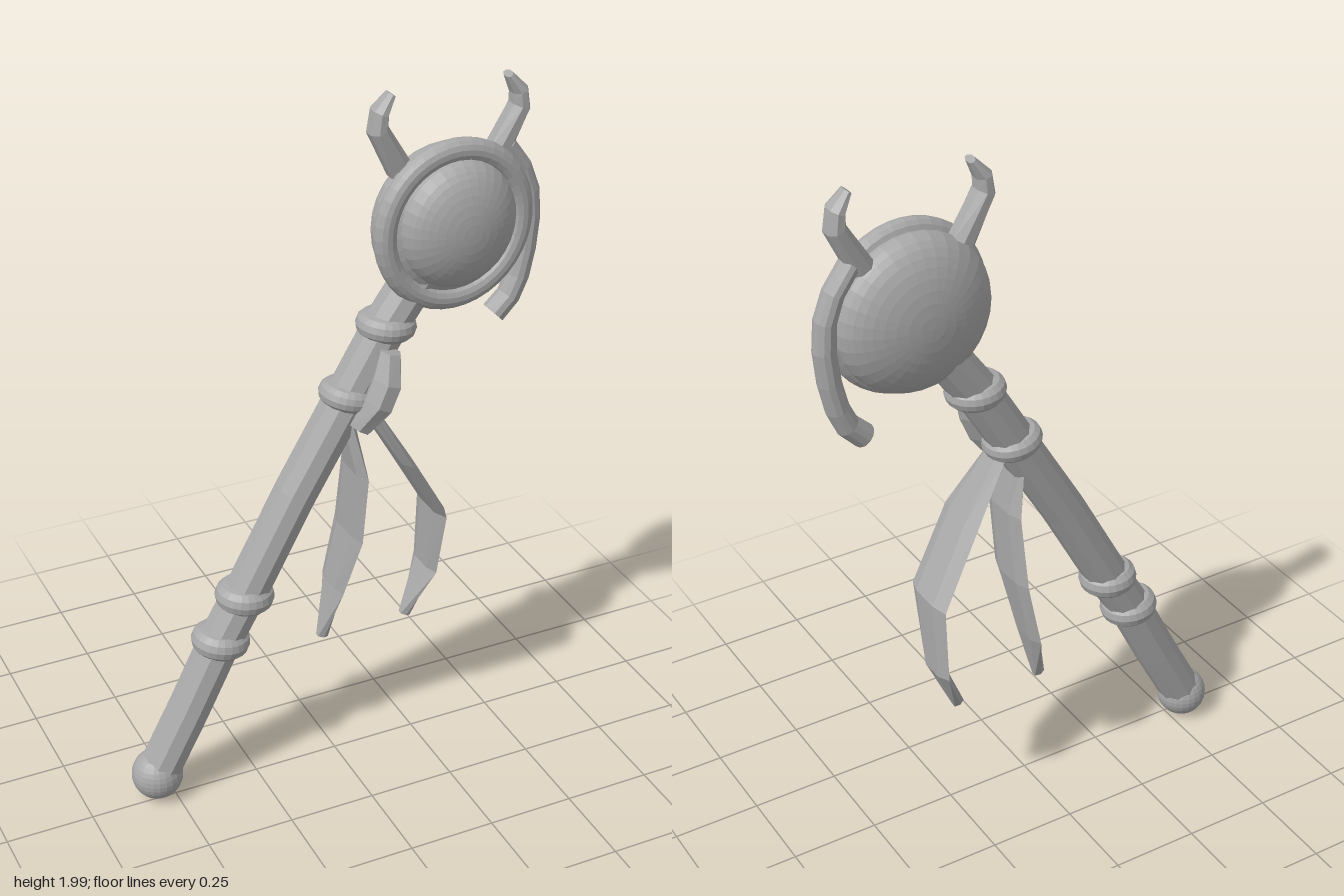
import * as THREE from 'three';

const AXIS_Z = -0.02; // depth of the staff's centre line
const HEAD = [0.333, 1.617];

// Faceted loft: each section is [x, y, z, half width across the path, half depth in z]
function loft(sections, sides, turn = 0) {
  const pos = [], idx = [], last = sections.length - 1;
  sections.forEach(([x, y, z, u, w], i) => {
    const a = sections[Math.max(i - 1, 0)], b = sections[Math.min(i + 1, last)];
    const t = new THREE.Vector2(b[0] - a[0], b[1] - a[1]).normalize();
    for (let j = 0; j < sides; j++) {
      const g = turn + (j / sides) * Math.PI * 2;
      pos.push(x - t.y * Math.cos(g) * u, y + t.x * Math.cos(g) * u, z + Math.sin(g) * w);
    }
  });
  for (let i = 0; i < last; i++) {
    for (let j = 0; j < sides; j++) {
      const k = (j + 1) % sides, a = i * sides, d = a + sides;
      idx.push(a + j, a + k, d + k, a + j, d + k, d + j);
    }
  }
  for (let j = 1; j < sides - 1; j++) {
    const e = last * sides;
    idx.push(0, j + 1, j, e, e + j, e + j + 1);
  }
  const geo = new THREE.BufferGeometry();
  geo.setAttribute('position', new THREE.Float32BufferAttribute(pos, 3));
  geo.setIndex(idx);
  const flat = geo.toNonIndexed();
  flat.computeVertexNormals();
  return flat;
}

export function createModel() {
  const model = new THREE.Group();
  const grey = new THREE.MeshStandardMaterial({ color: 0xa8a8a8, flatShading: true });
  grey.name = 'grey';

  function add(name, geo, x = 0, y = 0, z = 0) {
    const mesh = new THREE.Mesh(geo, grey);
    mesh.name = name;
    mesh.position.set(x, y, z);
    model.add(mesh);
    return mesh;
  }
  // Sphere squashed along z, with its poles facing front and back
  const ellipsoid = (rx, ry, rz) =>
    new THREE.SphereGeometry(1, 32, 20).rotateX(Math.PI / 2).scale(rx, ry, rz);

  // Staff
  const staffPath = [[-0.545, 0.077], [-0.44, 0.275], [-0.34, 0.475], [-0.265, 0.605],
    [-0.11, 0.89], [0.05, 1.16], [0.16, 1.345], [0.27, 1.5]];
  add('staff', loft(staffPath.map(([x, y]) => [x, y, AXIS_Z, 0.061, 0.065]), 10, Math.PI / 10));
  add('pommel', new THREE.SphereGeometry(0.073, 24, 16), -0.545, 0.075, AXIS_Z);

  // Bands around the staff: x, y, tube radius, tilt
  [[-0.34, 0.475, 0.039, 0.14], [-0.265, 0.603, 0.039, 0.07],
    [0.05, 1.16, 0.033, 0.2], [0.16, 1.345, 0.034, 0.1]].forEach(([x, y, r, tilt]) => {
    const band = add('band', new THREE.TorusGeometry(0.083 - r, r, 12, 24).rotateX(Math.PI / 2), x, y, AXIS_Z);
    band.rotation.z = -tilt;
  });

  // Head: domed back, rim and bulging front
  add('headBack', ellipsoid(0.216, 0.217, 0.104), ...HEAD, -0.02);
  add('headRim', new THREE.TorusGeometry(0.203, 0.032, 14, 40).scale(0.985, 1.02, 0.95), ...HEAD, 0.022);
  add('headFront', ellipsoid(0.167, 0.177, 0.09), HEAD[0], 1.628, 0.04);

  // Horns, mirrored about the head's centre
  const horn = [[-0.14, 1.78, 0.036, 0.038], [-0.205, 1.9, 0.028, 0.04],
    [-0.2, 1.945, 0.023, 0.038], [-0.168, 1.99, 0.011, 0.022]];
  for (const side of [1, -1]) {
    add('horn', loft(horn.map(([x, y, u, w]) => [HEAD[0] + side * x, y, AXIS_Z, u, w]), 8, Math.PI / 8));
  }

  // Curved plume hanging beside the head
  const plume = [[0.5, 1.8], [0.55, 1.73], [0.576, 1.66], [0.582, 1.58], [0.573, 1.49],
    [0.555, 1.41], [0.53, 1.355], [0.485, 1.31]];
  add('plume', loft(plume.map(([x, y], i) => [x, y, AXIS_Z, 0.027 + i * 0.001, 0.035]), 12));

  // Knot at the front of the staff
  add('knot', loft([[0.14, 1.3, 0.05, 0.03, 0.03], [0.122, 1.225, 0.065, 0.04, 0.054],
    [0.095, 1.16, 0.065, 0.04, 0.054], [0.05, 1.085, 0.045, 0.03, 0.034]], 6));

  // Ribbons: shared depth profile along two different paths, as [z, half depth]
  const depth = [[-0.01, 0.045], [0.003, 0.086], [-0.025, 0.09], [-0.057, 0.07], [-0.047, 0.014]];
  const ribbons = {
    ribbonLeft: [[0.09, 1.13], [0.195, 0.95], [0.315, 0.745], [0.315, 0.53], [0.245, 0.375]],
    ribbonRight: [[0.03, 1.12], [0.06, 0.94], [0.055, 0.73], [0.022, 0.54], [-0.018, 0.375]],
  };
  for (const [name, path] of Object.entries(ribbons)) {
    add(name, loft(path.map(([x, y], i) => [x, y, depth[i][0], 0.018, depth[i][1]]), 6, Math.PI / 6));
  }
  return model;
}
